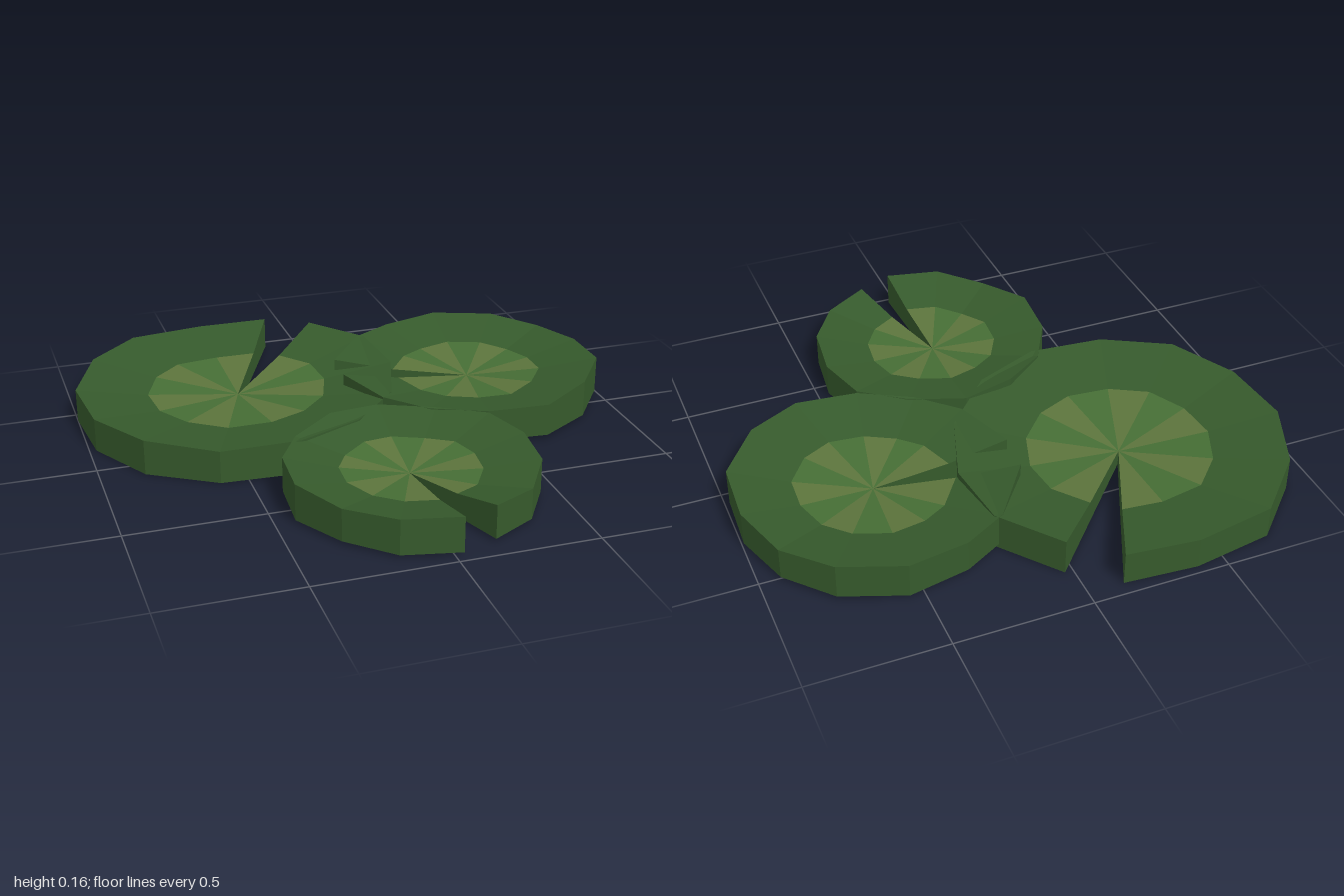
import * as THREE from 'three';

const material = (color) => new THREE.MeshStandardMaterial({ color, flatShading: true, roughness: 0.9 });

// Collects triangles (corners counter-clockwise from outside) into one mesh.
function trianglesMesh(name, tris, mat) {
  const geo = new THREE.BufferGeometry().setFromPoints(tris.flat());
  geo.computeVertexNormals();
  const mesh = new THREE.Mesh(geo, mat);
  mesh.name = name;
  return mesh;
}

// Each rim point is [x, z, top height], counter-clockwise from above,
// starting and ending at the two lips of the notch.
const PADS = [
  {
    name: 'largePad', centre: [-0.39, -0.37], base: 0, dip: 0.06,
    rim: [[-0.13, -0.95, 0.125], [-0.4, -0.97, 0.118], [-0.695, -0.92, 0.122], [-0.89, -0.72, 0.13],
      [-1, -0.45, 0.125], [-0.975, -0.165, 0.125], [-0.84, 0.08, 0.132], [-0.6, 0.23, 0.122],
      [-0.31, 0.245, 0.13], [-0.06, 0.14, 0.13], [0.135, -0.07, 0.125], [0.225, -0.345, 0.125],
      [0.2, -0.615, 0.135], [0.03, -0.83, 0.135]],
  },
  {
    name: 'mediumPad', centre: [0.51, -0.25], base: 0.015, dip: 0.07,
    rim: [[0, -0.25, 0.14], [0.08, -0.01, 0.135], [0.215, 0.13, 0.13], [0.41, 0.23, 0.135],
      [0.64, 0.25, 0.138], [0.84, 0.13, 0.155], [0.985, -0.07, 0.155], [0.995, -0.3, 0.145],
      [0.925, -0.51, 0.135], [0.78, -0.67, 0.145], [0.555, -0.755, 0.145], [0.33, -0.71, 0.135],
      [0.17, -0.62, 0.135], [0.01, -0.4, 0.14]],
  },
  {
    name: 'smallPad', centre: [0.01, 0.49], base: 0.01, dip: 0.07,
    rim: [[0.16, 0.915, 0.135], [0.325, 0.825, 0.125], [0.435, 0.65, 0.135], [0.46, 0.435, 0.135],
      [0.405, 0.24, 0.135], [0.24, 0.125, 0.13], [0.04, 0.045, 0.135], [-0.155, 0.085, 0.145],
      [-0.32, 0.205, 0.13], [-0.415, 0.375, 0.14], [-0.43, 0.59, 0.145], [-0.325, 0.775, 0.13],
      [-0.175, 0.92, 0.14], [0.03, 0.965, 0.14]],
  },
];

function createPad({ name, centre: [cx, cz], base, dip, rim }, mats) {
  const pad = new THREE.Group();
  pad.name = name;
  const RING = 0.56; // share of the radius covered by the pale heart
  const top = new THREE.Vector3(cx, dip, cz);
  const bottom = new THREE.Vector3(cx, base, cz);
  const outerTop = rim.map(([x, z, y]) => new THREE.Vector3(x, y, z));
  const outerLow = rim.map(([x, z]) => new THREE.Vector3(x, base, z));
  const ringTop = outerTop.map((p) => {
    const q = top.clone().lerp(p, RING);
    q.y -= 0.012;
    return q;
  });
  const ringLow = outerLow.map((p) => bottom.clone().lerp(p, RING));
  const quad = (a, b, c, d) => [[a, b, c], [a, c, d]];

  const leaf = [], heart = [], veins = [];
  for (let i = 0; i < rim.length - 1; i++) {
    const j = i + 1;
    // Dished upper face: alternating pale wedges inside, dark band outside
    (i % 2 ? heart : veins).push([top, ringTop[i], ringTop[j]]);
    leaf.push(...quad(ringTop[i], outerTop[i], outerTop[j], ringTop[j]));
    // Outer wall
    leaf.push(...quad(outerLow[i], outerLow[j], outerTop[j], outerTop[i]));
    // Flat underside
    (i % 2 ? leaf : veins).push([bottom, ringLow[j], ringLow[i]]);
    leaf.push(...quad(ringLow[i], ringLow[j], outerLow[j], outerLow[i]));
  }
  // Two walls of the notch
  const n = rim.length - 1;
  leaf.push(...quad(bottom, outerLow[0], outerTop[0], ringTop[0]), [bottom, ringTop[0], top]);
  leaf.push(...quad(outerLow[n], bottom, ringTop[n], outerTop[n]), [bottom, top, ringTop[n]]);

  pad.add(
    trianglesMesh('leafBody', leaf, mats.leaf),
    trianglesMesh('greenWedges', heart, mats.heart),
    trianglesMesh('oliveWedges', veins, mats.veins),
  );
  return pad;
}

export function createModel() {
  const model = new THREE.Group();
  model.name = 'lilyPads';
  const mats = { leaf: material(0x365a2c), heart: material(0x466e35), veins: material(0x5c743c) };
  for (const spec of PADS) model.add(createPad(spec, mats));
  return model;
}
